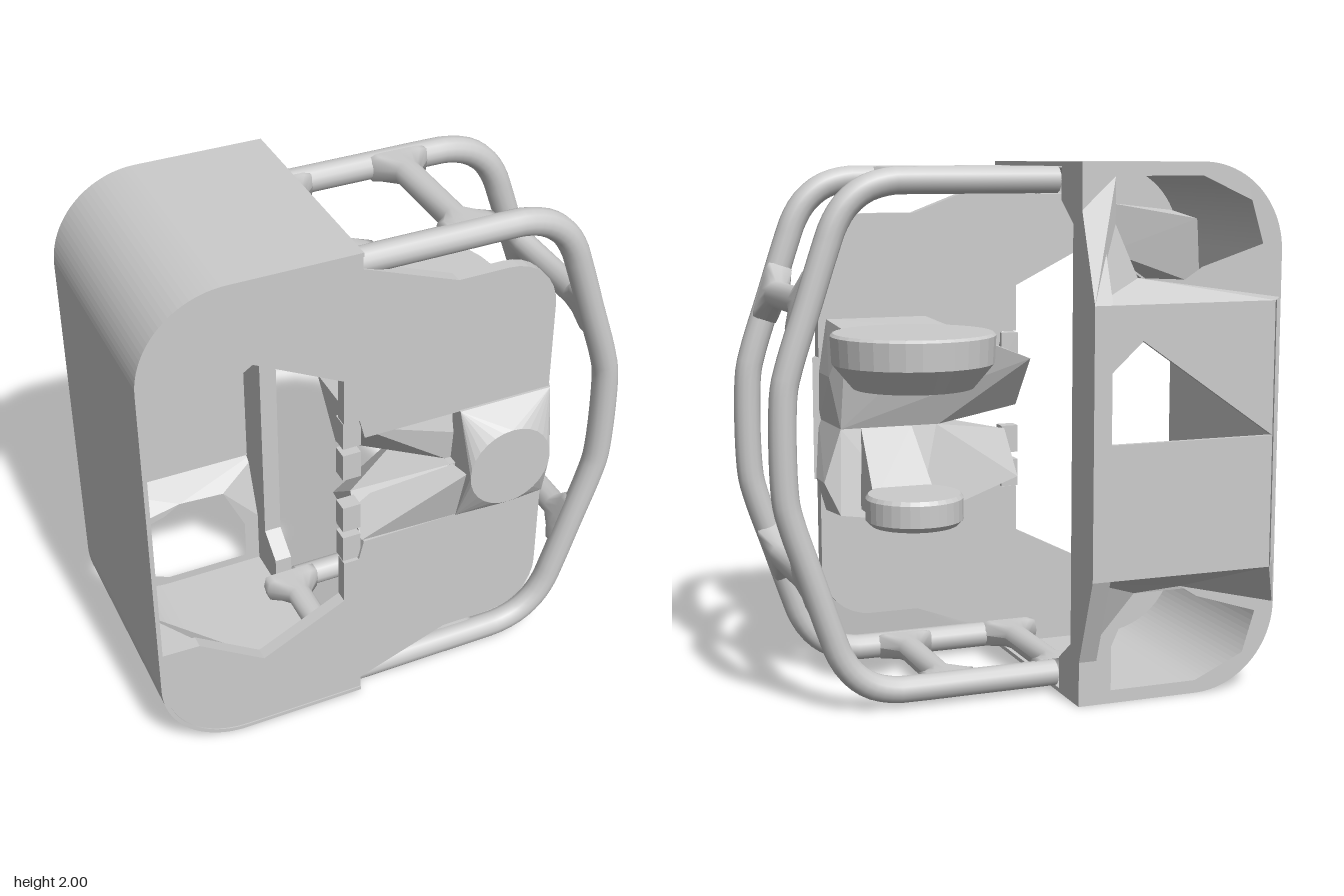
import * as THREE from 'three';
import { ConvexGeometry } from 'three/addons/geometries/ConvexGeometry.js';

const smooth = new THREE.MeshStandardMaterial({ color: 0xcccccc, side: THREE.DoubleSide });
const flat = new THREE.MeshStandardMaterial({ color: 0xcccccc, side: THREE.DoubleSide, flatShading: true });

const v2 = ([x, y]) => new THREE.Vector2(x, y);
const v3 = ([x, y, z]) => new THREE.Vector3(x, y, z);

export function createModel() {
  const model = new THREE.Group();
  const add = (name, geometry, material = flat) => {
    const mesh = new THREE.Mesh(geometry, material);
    mesh.name = name;
    model.add(mesh);
  };
  const extrude = (shape, z0, z1) => {
    const g = new THREE.ExtrudeGeometry(shape, { depth: z1 - z0, bevelEnabled: false, curveSegments: 12 });
    return g.translate(0, 0, z0);
  };
  const hull = (name, pts) => add(name, new ConvexGeometry(pts.map(v3)));
  // Quarter circle as points
  const arc = (cx, cy, r, from) => Array.from({ length: 9 }, (_, i) => {
    const a = from + (i / 8) * Math.PI / 2;
    return [cx + r * Math.cos(a), cy + r * Math.sin(a)];
  });

  // C-shaped outer shell, open toward the tube cage
  const shell = new THREE.Shape();
  shell.moveTo(-0.14, 2);
  shell.lineTo(-0.62, 2);
  shell.absarc(-0.62, 1.67, 0.33, Math.PI / 2, Math.PI, false);
  shell.lineTo(-0.95, 0.33);
  shell.absarc(-0.62, 0.33, 0.33, Math.PI, Math.PI * 1.5, false);
  shell.lineTo(-0.14, 0);
  shell.lineTo(-0.14, 0.016);
  shell.lineTo(-0.62, 0.016);
  shell.absarc(-0.62, 0.33, 0.314, Math.PI * 1.5, Math.PI, true);
  shell.lineTo(-0.934, 1.67);
  shell.absarc(-0.62, 1.67, 0.314, Math.PI, Math.PI / 2, true);
  shell.lineTo(-0.14, 1.984);
  add('shell', extrude(shell, -0.43, 0.455), smooth);

  for (const side of [1, -1]) {
    const flip = (pts) => pts.map(([x, y, z]) => [x, 1 + side * (y - 1), z]);
    const label = side > 0 ? 'upper' : 'lower';

    // Front plate half with the angled window edge
    const plate = [[-0.94, 1.5], [-0.79, 1.505], [-0.54, 1.67], [-0.21, 1.505], [-0.21, 1.32], [-0.15, 1.32],
      [-0.13, 1.24], [0.615, 1.24], ...arc(0.415, 1.6, 0.2, 0), [0.22, 1.8], [-0.14, 1.935], [-0.14, 1.99],
      ...arc(-0.62, 1.67, 0.32, Math.PI / 2)];
    add(label + 'FrontPlate', extrude(new THREE.Shape(flip(plate).map(v2)), 0.4, 0.45));

    // Rear frame: bottom edge pushed back to form a sloped ledge, opening left upright
    const rear = new THREE.Shape(flip([[-0.945, 1.5], [-0.86, 1.5], [-0.14, 1.5], [-0.14, 1.83], [-0.14, 1.99],
      ...arc(-0.62, 1.67, 0.325, Math.PI / 2)]).map(v2));
    rear.holes.push(new THREE.Path(flip([[-0.62, 1.62], [-0.55, 1.575], [-0.36, 1.585], [-0.27, 1.78],
      [-0.27, 1.95], [-0.62, 1.95], [-0.82, 1.86], [-0.87, 1.7]]).map(v2)));
    const rearGeo = new THREE.ShapeGeometry(rear);
    const p = rearGeo.attributes.position;
    for (let i = 0; i < p.count; i++) {
      const pushed = Math.abs(p.getY(i) - 1) < 0.51 && p.getX(i) > -0.9;
      p.setZ(i, pushed ? -0.55 : -0.43);
    }
    rearGeo.computeVertexNormals();
    add(label + 'RearSlope', rearGeo);

    // Wedge behind the front plate, deepening toward the outer wall
    hull(label + 'Gusset', flip([[-0.935, 1.5, 0.41], [-0.935, 1.5, 0.2], [-0.79, 1.51, 0.41], [-0.62, 1.63, 0.4],
      [-0.62, 1.83, 0.4], [-0.92, 1.77, 0.2], [-0.9, 1.8, 0.41]]));
  }

  // Rear panels: solid lower half, diagonal upper half
  const panel = (name, pts) => add(name, extrude(new THREE.Shape(pts.map(v2)), -0.55, -0.53));
  panel('lowerRearPanel', [[-0.86, 0.5], [-0.14, 0.5], [-0.14, 1], [-0.86, 1]]);
  panel('upperRearPanel', [[-0.86, 1], [-0.33, 1.37], [-0.21, 1.26], [-0.14, 1.26], [-0.14, 1.5], [-0.86, 1.5]]);

  // Rear post beside the opening, following the sloped back
  const post = [[-0.55, 0.5], [-0.43, 0.17], [-0.43, 0.01], [-0.24, 0.01], [-0.24, 0.14], [-0.35, 0.22],
    [-0.35, 1.78], [-0.24, 1.86], [-0.24, 1.99], [-0.43, 1.99], [-0.43, 1.83], [-0.55, 1.5]];
  const postGeo = extrude(new THREE.Shape(post.map(([z, y]) => new THREE.Vector2(-z, y))), 0, 0.07);
  add('rearPost', postGeo.rotateY(Math.PI / 2).translate(-0.21, 0, 0));

  // Nose: square base blending into a round front cap
  const cap = Array.from({ length: 28 }, (_, i) => {
    const a = (i / 28) * Math.PI * 2;
    return [0.415 + 0.165 * Math.cos(a), 1.005 + 0.165 * Math.sin(a), 0.55];
  });
  const base = [0.765, 1.245].flatMap((y) => [[0.245, y, 0.46], [0.615, y, 0.46], [0.245, y, 0.4], [0.64, y, 0.4]]);
  hull('nose', [...cap, ...base]);

  // Faceted core behind the plate and the arms that carry the discs
  hull('upperCore', [[-0.13, 1.25, 0.4], [-0.13, 1.25, 0.04], [-0.13, 1.05, 0.2], [0.05, 1.05, 0.2],
    [0.2, 1.38, 0.02], [0.6, 1.38, 0.05], [0.2, 1.4, 0.33], [0.6, 1.4, 0.33], [0.22, 1, 0.4],
    [0.61, 1, 0.43], [0.21, 1, 0.14], [0.6, 1, 0.14], [0.64, 1.2, 0.15], [0.64, 1.2, 0.3]]);
  hull('lowerCore', [[-0.14, 0.77, 0.44], [-0.14, 0.93, 0.35], [-0.12, 0.77, 0.15], [0.22, 1, 0.44],
    [0.22, 1, 0.14], [0.6, 1, 0.14], [0.61, 1, 0.43], [0.67, 0.8, 0.13], [0.67, 0.8, 0.25],
    [0.3, 0.63, 0.3], [0.32, 0.64, 0.06], [0.62, 0.66, 0.3], [0.62, 0.68, 0.08]]);
  hull('noseCheek', [[0.25, 0.77, 0.46], [0.25, 1, 0.52], [-0.14, 0.77, 0.45], [-0.14, 0.9, 0.4], [0.2, 1, 0.3]]);
  hull('lowerArm', [[0.32, 1, 0.14], [0.52, 1, 0.14], [0.3, 0.76, -0.1], [0.54, 0.76, -0.1],
    [0.32, 0.7, -0.08], [0.54, 0.7, -0.08], [0.32, 0.7, 0.15], [0.54, 0.7, 0.15]]);

  // Small stepped tabs on the inner edge of the front plate
  [0.74, 0.88, 1.12, 1.26].forEach((y) =>
    add('edgeTab', new THREE.BoxGeometry(0.07, 0.11, 0.06).translate(-0.175, y, 0.41)));

  // Upper hollow disc and lower solid disc
  const disc = (name, pts) => add(name, new THREE.LatheGeometry(pts.map(v2), 32).translate(0.415, 0, -0.19));
  disc('upperDisc', [[0, 1.29], [0.15, 1.29], [0.18, 1.195], [0.22, 1.195], [0.295, 1.285], [0.3, 1.385],
    [0.29, 1.395], [0, 1.395]]);
  disc('lowerDisc', [[0, 0.69], [0.16, 0.69], [0.18, 0.71], [0.18, 0.79], [0.17, 0.805], [0, 0.805]]);

  // Cage: two bent tubes
  const bend = [[-0.14, 1.935], [0.2, 1.935], [0.42, 1.935], [0.5, 1.932], [0.59, 1.905], [0.66, 1.85],
    [0.705, 1.78], [0.735, 1.7], [0.805, 1.49], [0.875, 1.28], [0.895, 1.19]];
  const path = [...bend, ...bend.map(([x, y]) => [x, 2 - y]).reverse()];
  const tubeZ = [0.395, -0.19];
  for (const z of tubeZ) {
    const curve = new THREE.CatmullRomCurve3(path.map(([x, y]) => new THREE.Vector3(x, y, z)), false, 'centripetal');
    add('cageTube', new THREE.TubeGeometry(curve, 100, 0.05, 14), smooth);
  }

  // Cross rungs, flaring along the tubes at both ends
  const rung = (x, y, angle) => {
    const g = new THREE.LatheGeometry([[0.115, -0.2925], [0.115, -0.25], [0.05, -0.18], [0.05, 0.18],
      [0.115, 0.25], [0.115, 0.2925]].map(v2), 16);
    const p = g.attributes.position;
    for (let i = 0; i < p.count; i++) p.setX(i, THREE.MathUtils.clamp(p.getX(i), -0.048, 0.048));
    g.computeVertexNormals();
    g.rotateX(Math.PI / 2).rotateZ(angle).translate(x, y, (tubeZ[0] + tubeZ[1]) / 2);
    add('cageRung', g, smooth);
  };
  for (const s of [1, -1]) {
    rung(0.285, 1 + s * 0.935, Math.PI / 2);
    rung(0.8, 1 + s * 0.505, s * 0.32);
    rung(-0.17, 1 + s * 0.93, Math.PI / 2);
  }
  return model;
}
